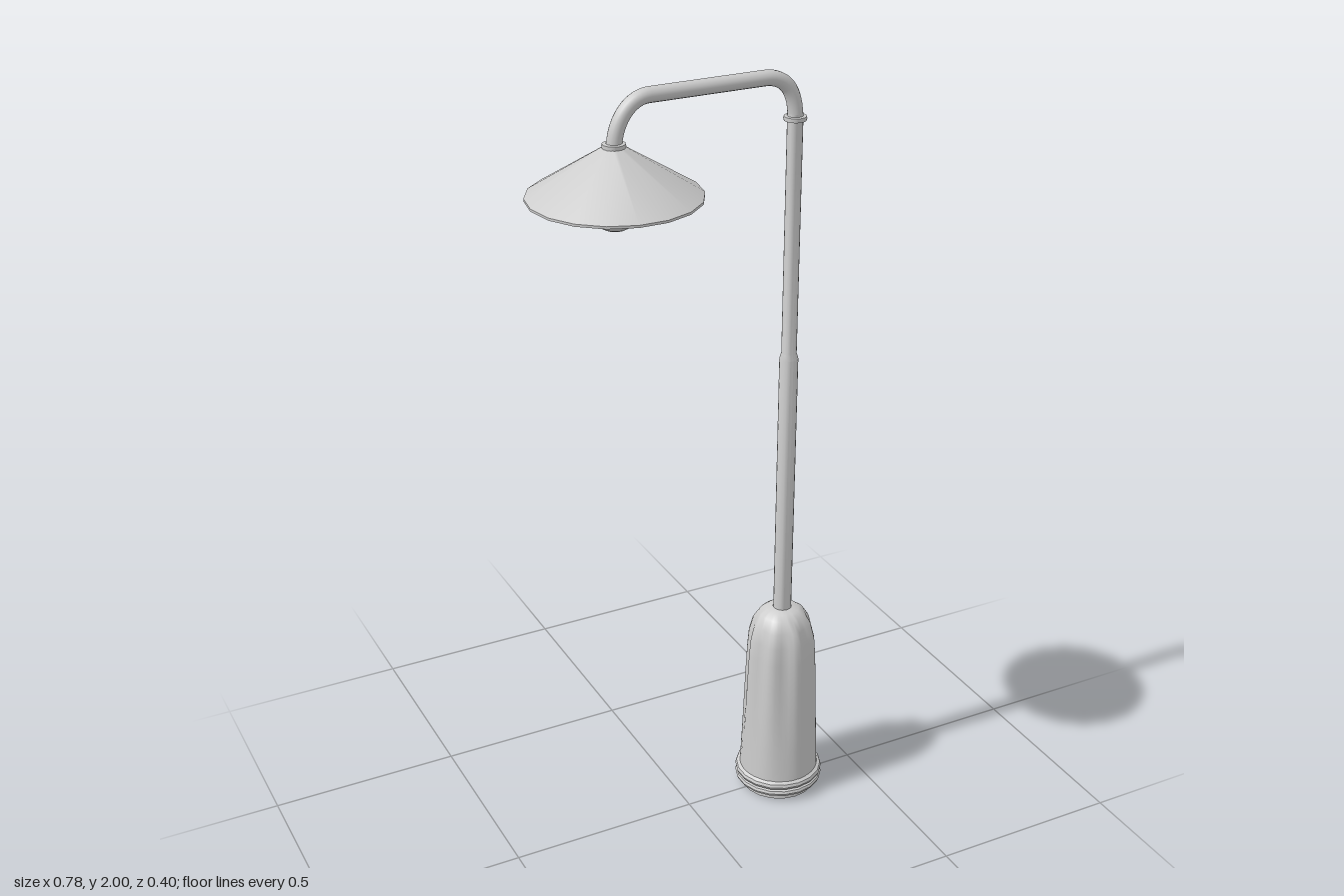
import * as THREE from 'three';
import { toCreasedNormals } from 'three/addons/utils/BufferGeometryUtils.js';

const POLE_X = 0.275, LAMP_X = -0.188;

export function createModel() {
  const group = new THREE.Group();
  const metal = new THREE.MeshStandardMaterial({ color: 0xcccccc, side: THREE.DoubleSide });
  metal.name = 'greyMetal';

  const add = (name, geometry, x = 0, y = 0) => {
    const mesh = new THREE.Mesh(geometry, metal);
    mesh.name = name;
    mesh.position.set(x, y, 0);
    group.add(mesh);
    return mesh;
  };
  // Profile points are [radius, height], listed from the bottom up
  const lathe = (points, sides = 18, start = 0, crease = 0.7) => toCreasedNormals(
    new THREE.LatheGeometry(points.map(([r, y]) => new THREE.Vector2(r, y)), sides, start), crease);

  // Stepped foot with two ridges, open underneath
  add('footRings', lathe([
    [0.09, 0.06], [0.09, 0], [0.1, 0], [0.1, 0.018], [0.115, 0.02], [0.118, 0.027], [0.115, 0.034],
    [0.105, 0.037], [0.115, 0.041], [0.118, 0.048], [0.115, 0.056], [0.104, 0.062],
  ]), POLE_X);

  // Tapered base with eight soft flutes that fade out at the bottom and the neck
  const profile = [[0.106, 0.05], [0.103, 0.15], [0.1, 0.25], [0.097, 0.35], [0.094, 0.42],
    [0.09, 0.47], [0.079, 0.51], [0.06, 0.54], [0.043, 0.552], [0.024, 0.556]];
  const base = new THREE.LatheGeometry(profile.map(([r, y]) => new THREE.Vector2(r, y)), 48);
  const pos = base.attributes.position;
  for (let i = 0; i < pos.count; i++) {
    const x = pos.getX(i), y = pos.getY(i), z = pos.getZ(i);
    const fade = Math.min(1, Math.max(0, (y - 0.05) / 0.4)) * Math.min(1, (0.556 - y) / 0.06);
    const scale = 1 - 0.06 * fade * (1 - Math.cos(8 * Math.atan2(z, x)));
    pos.setXYZ(i, x * scale, y, z * scale);
  }
  add('flutedBase', toCreasedNormals(base, 0.9), POLE_X);

  // Two-stage pole
  add('pole', lathe([[0.0235, 0.54], [0.0235, 1.27], [0.019, 1.285], [0.019, 1.89]]), POLE_X);

  // Arm with a rounded bend at each end
  const v = (x, y) => new THREE.Vector3(x, y, 0);
  const path = new THREE.CurvePath();
  path.add(new THREE.CubicBezierCurve3(v(POLE_X, 1.875), v(POLE_X, 1.94), v(0.25, 1.982), v(0.19, 1.982)));
  path.add(new THREE.LineCurve3(v(0.19, 1.982), v(-0.1, 1.982)));
  path.add(new THREE.CubicBezierCurve3(v(-0.1, 1.982), v(-0.15, 1.982), v(LAMP_X, 1.93), v(LAMP_X, 1.865)));
  add('arm', new THREE.TubeGeometry(path, 64, 0.0185, 14));

  // Joint collars
  for (const [name, x] of [['poleCollar', POLE_X], ['lampCollar', LAMP_X]]) {
    add(name, lathe([[0.018, -0.006], [0.027, -0.005], [0.028, 0], [0.027, 0.005], [0.018, 0.006]]), x, 1.878);
  }

  // Conical shade with a thin rim
  add('shade', lathe([[0.022, 1.868], [0.203, 1.757], [0.205, 1.757], [0.205, 1.763], [0.022, 1.877]],
    18, Math.PI / 2), LAMP_X);

  // Bulb and socket
  add('bulbSocket', new THREE.CylinderGeometry(0.024, 0.024, 0.08, 18), LAMP_X, 1.835);
  const bulb = add('bulb', new THREE.SphereGeometry(0.064, 24, 16), LAMP_X, 1.745);
  bulb.scale.y = 1.03;

  return group;
}
